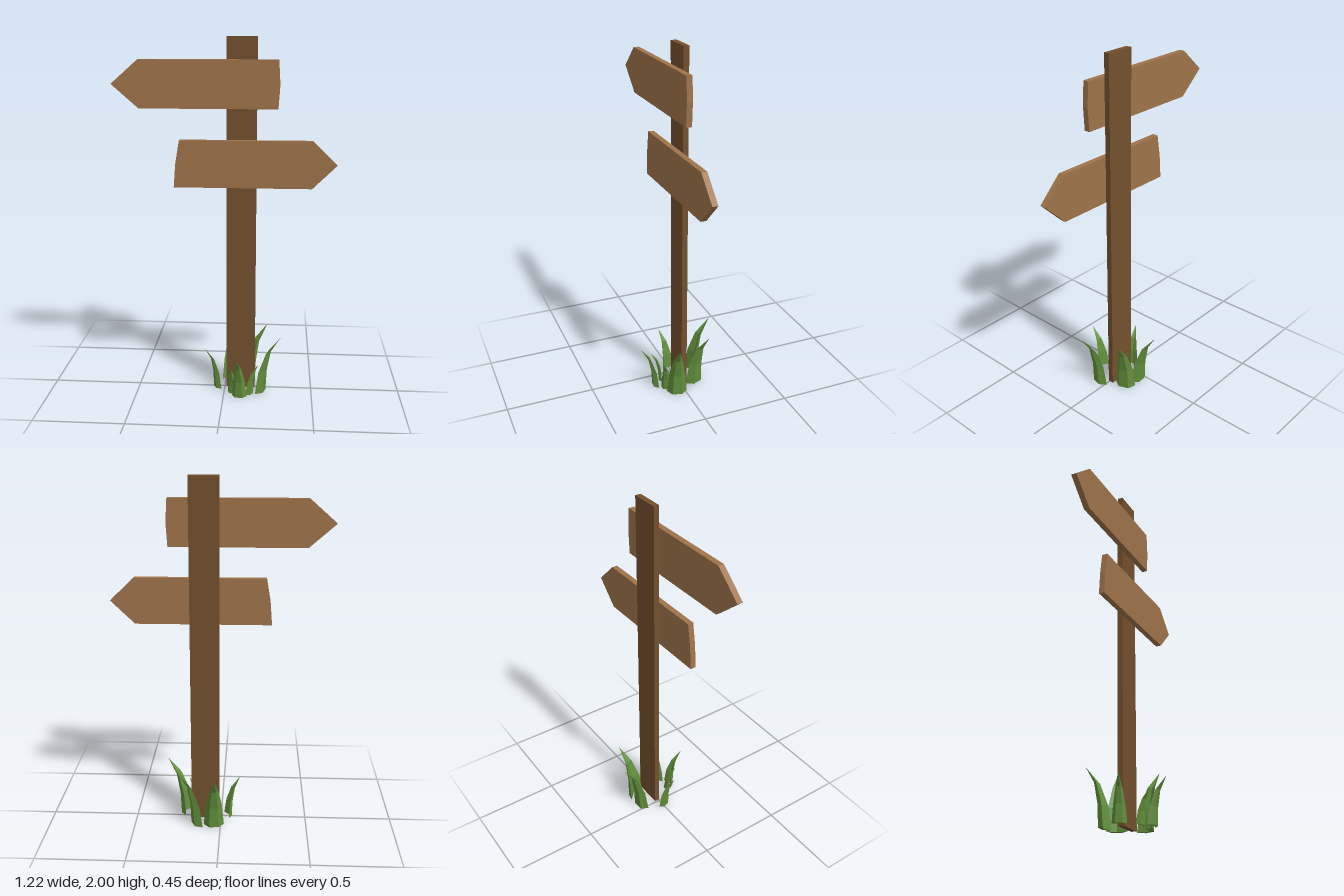
import * as THREE from 'three';

const wood = new THREE.MeshStandardMaterial({ color: 0x9e734a, flatShading: true });
const darkWood = new THREE.MeshStandardMaterial({ color: 0x73502e, flatShading: true });
const green = new THREE.MeshStandardMaterial({ color: 0x628f3c, flatShading: true });

// Flat arrow board cut from an outline
function board(name, points) {
  const shape = new THREE.Shape(points.map(([x, y]) => new THREE.Vector2(x, y)));
  const geo = new THREE.ExtrudeGeometry(shape, { depth: 0.032, bevelEnabled: false });
  geo.translate(0, 0, 0.007);
  const mesh = new THREE.Mesh(geo, wood);
  mesh.name = name;
  return mesh;
}

// Crescent section of a blade: u across, v outwards, both in blade widths
const SECTION = [[-0.5, 0], [-0.25, 0.33], [0.25, 0.33], [0.5, 0], [0, 0.2]];
// Height, width and lean along a blade, as shares of the whole
const LEVELS = [[0, 1, 0], [0.38, 0.8, 0.12], [0.72, 0.45, 0.42], [1, 0, 1]];

// Blade with a crescent foot between two corners, bending out to its tip
function blade([x1, z1], [x2, z2], [tx, tz], height) {
  const cx = (x1 + x2) / 2, cz = (z1 + z2) / 2;
  const width = Math.hypot(x2 - x1, z2 - z1);
  const reach = Math.hypot(tx - cx, tz - cz);
  const dx = (tx - cx) / reach, dz = (tz - cz) / reach;
  const positions = [], index = [], n = SECTION.length;
  for (const [h, w, lean] of LEVELS) {
    for (const [u, v] of SECTION) {
      const a = u * w * width, b = v * w * width + lean * reach;
      positions.push(cx + dz * a + dx * b, h * height, cz - dx * a + dz * b);
    }
  }
  for (let k = 0; k < LEVELS.length - 1; k++) {
    for (let i = 0; i < n; i++) {
      const a = k * n + i, b = k * n + (i + 1) % n;
      index.push(a, b, b + n);
      if (k < LEVELS.length - 2) index.push(a, b + n, a + n);
    }
  }
  for (let i = 0; i < n - 2; i++) index.push(n - 1, i + 1, i); // foot
  const geo = new THREE.BufferGeometry();
  geo.setAttribute('position', new THREE.Float32BufferAttribute(positions, 3));
  geo.setIndex(index);
  geo.computeVertexNormals();
  const mesh = new THREE.Mesh(geo, green);
  mesh.name = 'grassBlade';
  return mesh;
}

export function createModel() {
  const model = new THREE.Group();
  model.name = 'signpost';

  const post = new THREE.Mesh(new THREE.BoxGeometry(0.164, 2, 0.032), darkWood);
  post.position.set(0.091, 1, -0.009);
  post.name = 'post';
  model.add(post);

  // Arrow boards with slightly bent tail ends
  model.add(board('upperBoard', [
    [-0.613, 1.75], [-0.465, 1.62], [0.288, 1.62], [0.296, 1.75], [0.288, 1.88], [-0.465, 1.88],
  ]));
  model.add(board('lowerBoard', [
    [0.61, 1.32], [0.477, 1.45], [-0.248, 1.45], [-0.27, 1.32], [-0.28, 1.19], [0.477, 1.19],
  ]));

  // Grass around the foot: two corners, tip, height
  const grass = new THREE.Group();
  grass.name = 'grass';
  const blades = [
    [[-0.02, -0.095], [0.098, -0.1], [0.03, -0.228], 0.34],
    [[0.1, -0.14], [0.15, -0.032], [0.242, -0.135], 0.34],
    [[0.21, -0.01], [0.178, 0.1], [0.32, 0.08], 0.34],
    [[0.05, 0.12], [0.132, 0.133], [0.08, 0.222], 0.25],
    [[0.023, 0.072], [0.08, 0.092], [0.03, 0.145], 0.18],
    [[0.16, 0.062], [0.124, 0.115], [0.197, 0.122], 0.19],
    [[-0.045, -0.03], [-0.02, 0.045], [-0.113, 0.04], 0.245],
  ];
  for (const b of blades) grass.add(blade(...b));
  model.add(grass);
  return model;
}
